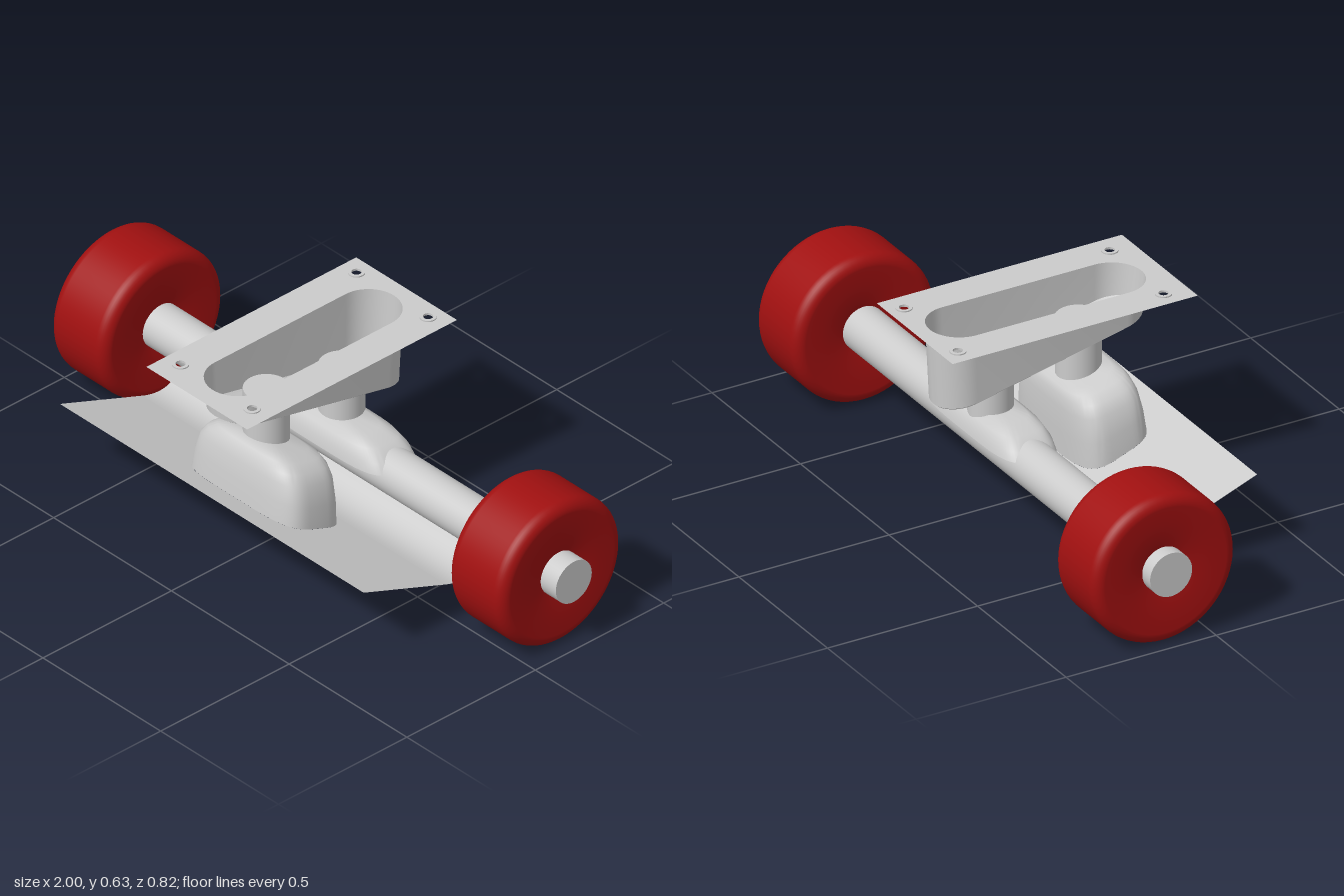
import * as THREE from 'three';
import { toCreasedNormals } from 'three/addons/utils/BufferGeometryUtils.js';

const grey = new THREE.MeshStandardMaterial({ color: 0xcccccc, side: THREE.DoubleSide });
const red = new THREE.MeshStandardMaterial({ color: 0xa01010 });

// Closed rounded ring: half width, front and back z, front and back height, exponent
function ring([hw, zf, zb, yf, yb], cx, power, n = 64) {
  const pts = [];
  for (let i = 0; i < n; i++) {
    const a = (i / n) * Math.PI * 2;
    const c = Math.cos(a), s = Math.sin(a);
    const u = Math.sign(c) * Math.abs(c) ** (2 / power);
    const t = (Math.sign(s) * Math.abs(s) ** (2 / power) + 1) / 2;
    pts.push(new THREE.Vector3(cx + u * hw, yb + (yf - yb) * t, zb + (zf - zb) * t));
  }
  return pts;
}

// Ring with straight sides and half-round ends
function slotRing([hw, zf, zb, yf, yb], cx, n = 24) {
  const pts = [];
  for (const end of [1, -1]) {
    for (let i = 0; i <= n; i++) {
      const a = (i / n) * Math.PI;
      const z = (end > 0 ? zf - hw : zb + hw) + end * Math.sin(a) * hw;
      const t = (z - zb) / (zf - zb);
      pts.push(new THREE.Vector3(cx + end * Math.cos(a) * hw, yb + (yf - yb) * t, z));
    }
  }
  return pts;
}

// Skin a stack of rings from bottom to top and close one end
function loft(rings, capLast, crease = 0.6) {
  const n = rings[0].length, pos = [], index = [];
  rings.forEach(r => r.forEach(p => pos.push(p.x, p.y, p.z)));
  for (let k = 0; k < rings.length - 1; k++) {
    for (let i = 0; i < n; i++) {
      const a = k * n + i, b = k * n + (i + 1) % n;
      index.push(a, a + n, b, b, a + n, b + n);
    }
  }
  const last = rings[rings.length - 1], base = (rings.length - 1) * n;
  if (capLast) {
    const c = last.reduce((s, p) => s.add(p), new THREE.Vector3()).divideScalar(n);
    pos.push(c.x, c.y, c.z);
    for (let i = 0; i < n; i++) index.push(base + i, rings.length * n, base + (i + 1) % n);
  }
  const g = new THREE.BufferGeometry();
  g.setAttribute('position', new THREE.Float32BufferAttribute(pos, 3));
  g.setIndex(index);
  return toCreasedNormals(g, crease);
}

function rectShape(x0, x1, y0, y1) {
  return new THREE.Shape([[x0, y0], [x1, y0], [x1, y1], [x0, y1]].map(p => new THREE.Vector2(...p)));
}

export function createModel() {
  const model = new THREE.Group();
  const add = (name, geometry, material, x = 0, y = 0, z = 0) => {
    const mesh = new THREE.Mesh(geometry, material);
    mesh.name = name;
    mesh.position.set(x, y, z);
    model.add(mesh);
    return mesh;
  };

  // Axle
  add('axle', new THREE.CylinderGeometry(0.07, 0.07, 2, 48), grey, 0, 0.238, -0.15).rotation.z = Math.PI / 2;

  // Wheels with rounded shoulders
  const profile = [[0.068, -0.1], [0.1, -0.108], [0.15, -0.114]];
  for (let i = 0; i <= 8; i++) {
    const a = (i / 8) * Math.PI / 2;
    profile.push([0.202 + 0.036 * Math.sin(a), -0.08 - 0.036 * Math.cos(a)]);
  }
  const full = [...profile, ...profile.map(([r, h]) => [r, -h]).reverse()];
  const wheel = new THREE.LatheGeometry(full.map(p => new THREE.Vector2(...p)), 64);
  for (const [name, x] of [['leftWheel', 0.835], ['rightWheel', -0.855]]) {
    add(name, wheel, red, x, 0.238, -0.15).rotation.z = Math.PI / 2;
  }

  // Top mounting plate with a long slot and four screw holes
  const top = 0.63;
  const rim = [0.098, 0.343, -0.362, top, top];
  const plate = rectShape(-0.21, 0.218, -0.405, 0.412);
  plate.holes.push(new THREE.Path(slotRing(rim, 0.004).map(p => new THREE.Vector2(p.x, -p.z))));
  const screws = [];
  for (const x of [-0.152, 0.152]) for (const z of [0.325, -0.36]) screws.push([x, z]);
  for (const [x, z] of screws) plate.holes.push(new THREE.Path().absarc(x, -z, 0.016, 0, Math.PI * 2, true));
  const plateGeo = new THREE.ShapeGeometry(plate, 16).rotateX(-Math.PI / 2);
  add('mountingPlate', plateGeo, grey, 0, top, 0);

  // Raised collars round the screw holes
  const collar = new THREE.LatheGeometry(
    [[0.015, -0.003], [0.025, -0.003], [0.025, 0.004], [0.015, 0.004], [0.015, -0.003]].map(p => new THREE.Vector2(...p)), 24);
  const collarGeo = toCreasedNormals(collar, 0.6);
  for (const [x, z] of screws) add('screwCollar', collarGeo, grey, x, top, z);

  // Hollow pod under the plate, with a sloping floor
  add('basePod', loft([
    slotRing(rim, 0.004),
    slotRing([0.093, 0.334, -0.35, 0.535, 0.385], 0.004),
    slotRing([0.088, 0.329, -0.345, 0.531, 0.381], 0.004),
  ], true), grey);

  // Posts between pod and hanger
  const post = (name, z, y0, y1) =>
    add(name, new THREE.CylinderGeometry(0.068, 0.068, y1 - y0, 40), grey, 0.003, (y0 + y1) / 2, z);
  post('frontPost', 0.133, 0.34, 0.54);
  post('rearPost', -0.16, 0.29, 0.485);

  // Front housing, open underneath
  const foot = [0.235, 0.27, 0.04, 0.228, 0.141];
  const housing = [
    foot,
    [0.228, 0.262, 0.038, 0.29, 0.22],
    [0.212, 0.251, 0.038, 0.345, 0.295],
    [0.19, 0.24, 0.042, 0.373, 0.33],
    [0.16, 0.226, 0.05, 0.392, 0.35],
    [0.12, 0.205, 0.065, 0.4, 0.36],
  ];
  add('frontHousing', loft(housing.map(r => ring(r, 0.017, 4)), true, 0.9), grey);

  // Rear saddle over the axle
  const saddle = [
    [0.26, -0.05, -0.245, 0.26, 0.265],
    [0.24, -0.055, -0.24, 0.29, 0.29],
    [0.2, -0.07, -0.225, 0.32, 0.318],
    [0.14, -0.09, -0.2, 0.335, 0.333],
  ];
  add('rearSaddle', loft(saddle.map(r => ring(r, 0.012, 4)), true, 0.9), grey);

  // Sloping front sheet with an opening below the housing
  const slope = 0.378, zMin = 0.03, yMin = 0.137;
  const sheet = rectShape(-0.635, 0.655, -0.352, -zMin);
  sheet.holes.push(new THREE.Path(ring(foot, 0.017, 4).map(p => new THREE.Vector2(p.x, -p.z))));
  const sheetGeo = new THREE.ShapeGeometry(sheet).rotateX(-Math.PI / 2);
  const sp = sheetGeo.attributes.position;
  for (let i = 0; i < sp.count; i++) sp.setY(i, yMin + (sp.getZ(i) - zMin) * slope);
  sheetGeo.computeVertexNormals();
  add('frontSheet', sheetGeo, grey);

  // Curved rear part of the sheet, rising to the axle
  const curve = new THREE.CubicBezierCurve(
    new THREE.Vector2(zMin, yMin), new THREE.Vector2(-0.04, 0.111),
    new THREE.Vector2(-0.09, 0.12), new THREE.Vector2(-0.135, 0.18));
  const bend = new THREE.PlaneGeometry(1.29, 1, 1, 20);
  const bp = bend.attributes.position;
  for (let i = 0; i < bp.count; i++) {
    const p = curve.getPoint(bp.getY(i) + 0.5);
    bp.setXYZ(i, bp.getX(i) + 0.01, p.y, p.x);
  }
  bend.computeVertexNormals();
  add('curvedSheet', bend, grey);

  return model;
}
